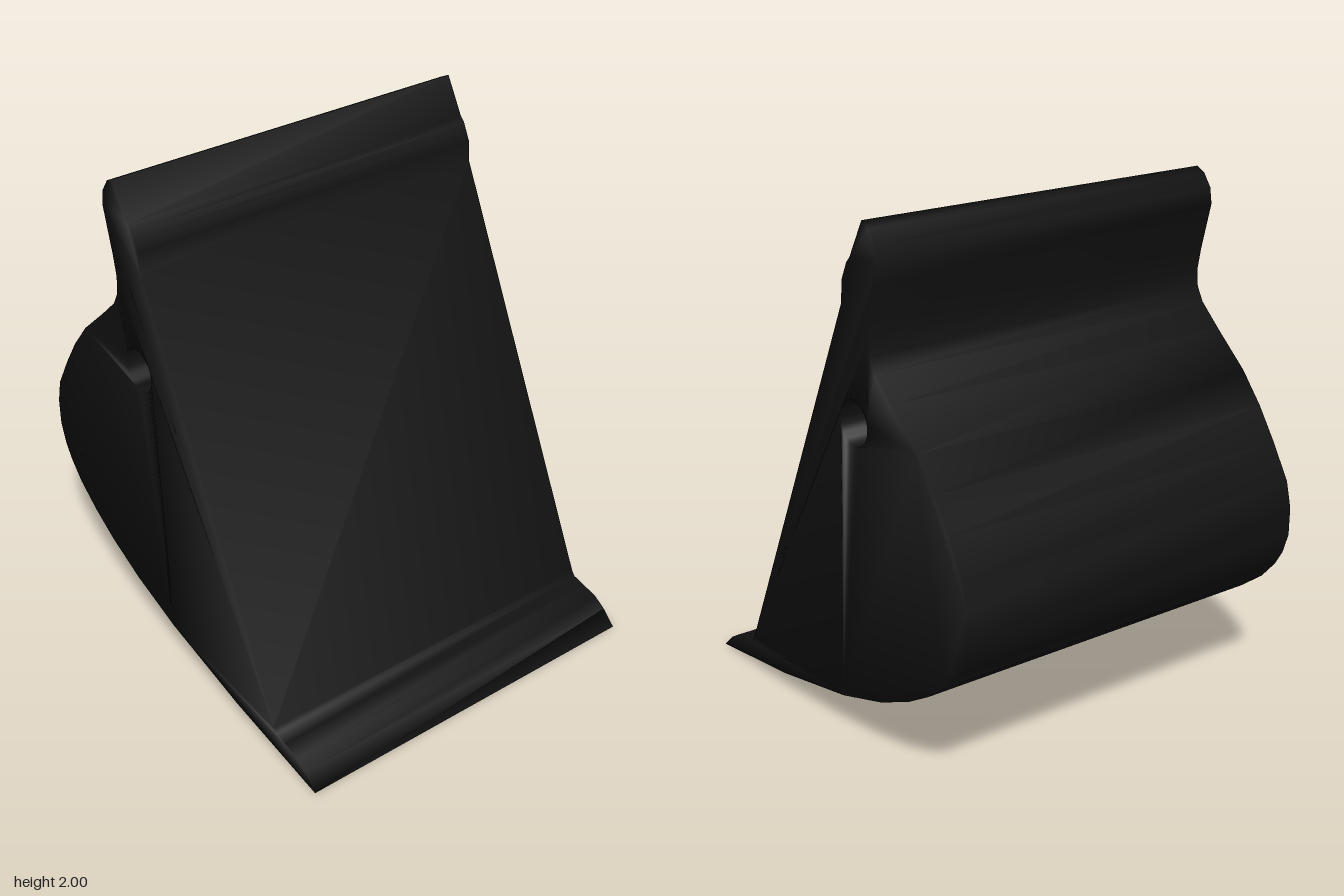
import * as THREE from 'three';
import { mergeVertices } from 'three/addons/utils/BufferGeometryUtils.js';

const WIDTH = 1.5;

// Outline from the cutting tip up the slanted mouth, over the top lip and down the curved back
const OUTLINE = [
  // cutting lip
  [0.85, 0], [0.79, 0.055], [0.74, 0.085], [0.67, 0.1], [0.615, 0.11], [0.6, 0.13],
  // slanted face and top step
  [-0.14, 1.69], [-0.145, 1.77], [-0.165, 1.81], [-0.18, 1.84], [-0.2, 1.86],
  // rounded top lip and neck
  [-0.28, 2], [-0.32, 1.98], [-0.355, 1.93], [-0.365, 1.87], [-0.345, 1.79],
  [-0.32, 1.69], [-0.305, 1.61], [-0.31, 1.54], [-0.34, 1.485],
  // curved back
  [-0.43, 1.4], [-0.575, 1.27], [-0.67, 1.155], [-0.75, 1.035], [-0.83, 0.9],
  [-0.855, 0.8], [-0.855, 0.69], [-0.83, 0.61], [-0.795, 0.55], [-0.73, 0.475],
  // underside
  [-0.625, 0.395], [-0.5, 0.32], [-0.32, 0.24], [-0.07, 0.16], [0.36, 0.07],
];

export function createModel() {
  const group = new THREE.Group();
  group.name = 'bucket';

  const shape = new THREE.Shape(OUTLINE.map(([x, y]) => new THREE.Vector2(x, y)));

  // pivot hole running through the full width
  const hole = new THREE.Path();
  hole.absarc(-0.197, 1.27, 0.085, 0, Math.PI * 2, true);
  shape.holes.push(hole);

  let geometry = new THREE.ExtrudeGeometry(shape, {
    depth: WIDTH, bevelEnabled: false, curveSegments: 10,
  });
  geometry.translate(0, 0, -WIDTH / 2);

  // shared vertices give soft shading across the whole body
  geometry.deleteAttribute('normal');
  geometry.deleteAttribute('uv');
  geometry = mergeVertices(geometry, 1e-4);
  geometry.computeVertexNormals();

  const body = new THREE.Mesh(geometry, new THREE.MeshStandardMaterial({ color: 0x111111 }));
  body.name = 'bucketBody';
  group.add(body);
  return group;
}
